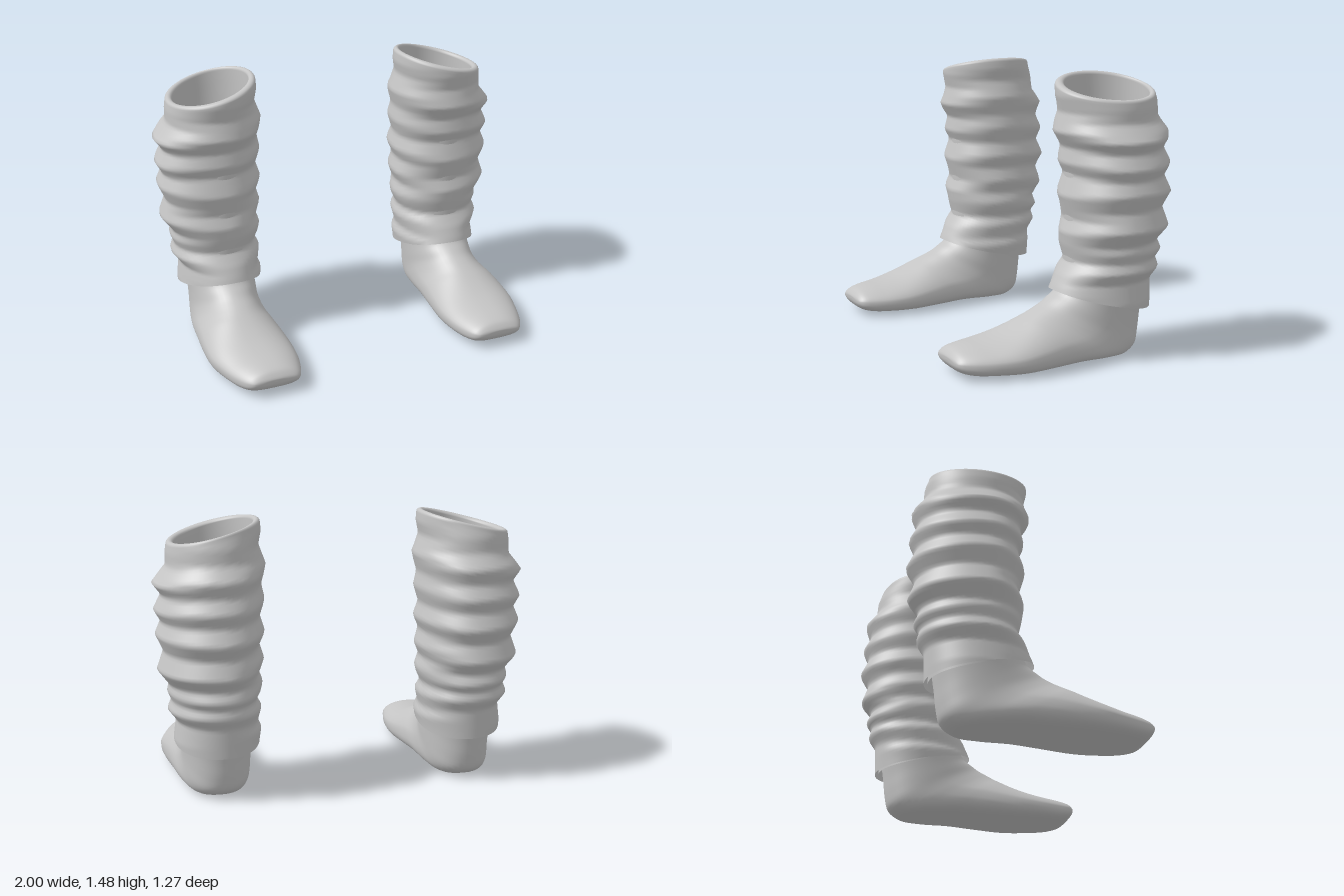
import * as THREE from 'three';

const knit = new THREE.MeshStandardMaterial({ color: 0xc4c4c4, side: THREE.DoubleSide });
knit.name = 'plain grey';

// Warmer outlines, as [height, position] pairs; folds differ on each side
const INNER = [[0.25, 0.455], [0.3, 0.45], [0.36, 0.44], [0.4, 0.46], [0.48, 0.44], [0.53, 0.465], [0.585, 0.44],
  [0.62, 0.432], [0.68, 0.455], [0.75, 0.425], [0.83, 0.45], [0.9, 0.42], [0.98, 0.445], [1.07, 0.418],
  [1.15, 0.435], [1.25, 0.408], [1.35, 0.445], [1.42, 0.43], [1.48, 0.435]];
const OUTER = [[0.25, 0.9], [0.31, 0.905], [0.42, 0.89], [0.48, 0.935], [0.53, 0.915], [0.58, 0.935], [0.62, 0.925],
  [0.7, 0.985], [0.8, 0.95], [0.89, 0.99], [0.96, 0.96], [1.02, 0.995], [1.1, 0.955], [1.16, 1.0],
  [1.25, 0.925], [1.32, 0.925], [1.38, 0.915]];
const FRONT = [[0.36, 0.035], [0.4, 0.02], [0.46, -0.01], [0.53, -0.06], [0.61, -0.04], [0.68, -0.03], [0.75, -0.06],
  [0.87, -0.025], [0.98, -0.06], [1.04, -0.03], [1.12, -0.045], [1.2, 0.005], [1.3, -0.025], [1.38, -0.005],
  [1.44, -0.005]];
const BACK = [[0.26, -0.525], [0.42, -0.53], [0.48, -0.57], [0.53, -0.555], [0.57, -0.588], [0.63, -0.56], [0.7, -0.622],
  [0.8, -0.585], [0.88, -0.633], [0.97, -0.59], [1.04, -0.622], [1.12, -0.58], [1.2, -0.613], [1.28, -0.55],
  [1.36, -0.545], [1.43, -0.52]];

// Straight-line lookup in an outline
function at(outline, y) {
  if (y <= outline[0][0]) return outline[0][1];
  for (let i = 1; i < outline.length; i++) {
    const [y0, v0] = outline[i - 1], [y1, v1] = outline[i];
    if (y <= y1) return THREE.MathUtils.lerp(v0, v1, (y - y0) / (y1 - y0));
  }
  return outline[outline.length - 1][1];
}

// Surface through closed rings; mirror = -1 makes the opposite leg
function loft(rows, cols, mirror, point) {
  const pos = [], index = [];
  for (let i = 0; i <= rows; i++) {
    for (let j = 0; j < cols; j++) {
      const [x, y, z] = point(i, (j / cols) * Math.PI * 2);
      pos.push(x * mirror, y, z);
    }
  }
  for (let i = 0; i < rows; i++) {
    for (let j = 0; j < cols; j++) {
      const a = i * cols + j, b = i * cols + (j + 1) % cols, c = a + cols, d = b + cols;
      if (mirror > 0) index.push(a, c, b, b, c, d);
      else index.push(a, b, c, b, d, c);
    }
  }
  const g = new THREE.BufferGeometry();
  g.setAttribute('position', new THREE.Float32BufferAttribute(pos, 3));
  g.setIndex(index);
  g.computeVertexNormals();
  return g;
}

// Folded tube: up the outside, over a rounded rim, down a smooth lining
function warmerGeometry(mirror) {
  const OUT = 76, RIM = 8, LINING = 16;
  return loft(OUT + RIM + LINING, 64, mirror, (i, a) => {
    const c = Math.cos(a), s = Math.sin(a);
    const t = i <= OUT ? i / OUT : i <= OUT + RIM ? 1 : 1 - (i - OUT - RIM) / LINING;
    const k = THREE.MathUtils.clamp((i - OUT) / RIM, 0, 1);
    const inward = (1 - Math.cos(Math.PI * k)) / 2;
    const hem = 0.3 + 0.06 * s + 0.02 * s * s;
    const rim = 1.41 - 0.055 * c;
    const y = THREE.MathUtils.lerp(hem, rim, t);
    const cx = 0.675, cz = -0.28;
    const rx = Math.abs(at(c > 0 ? OUTER : INNER, y) - cx);
    const rz = Math.abs(at(s > 0 ? FRONT : BACK, y) - cz);
    return [
      cx + c * THREE.MathUtils.lerp(rx, 0.205, inward),
      y + 0.018 * Math.sin(Math.PI * k),
      cz + s * THREE.MathUtils.lerp(rz, 0.225, inward),
    ];
  });
}

// Foot sections swinging from shin to toe:
// [instep z, instep y, sole z, sole y, half width, centre x]
const SECTIONS = [
  [-0.07, 0.55, -0.49, 0.55, 0.19, 0.675],
  [-0.03, 0.42, -0.49, 0.34, 0.19, 0.675],
  [0.0, 0.37, -0.475, 0.22, 0.185, 0.675],
  [0.045, 0.34, -0.462, 0.12, 0.183, 0.675],
  [0.085, 0.315, -0.44, 0.05, 0.183, 0.677],
  [0.13, 0.293, -0.37, 0.01, 0.19, 0.68],
  [0.17, 0.273, -0.25, 0.006, 0.2, 0.685],
  [0.21, 0.253, -0.08, 0.014, 0.212, 0.688],
  [0.28, 0.22, 0.1, 0.01, 0.225, 0.687],
  [0.36, 0.19, 0.27, 0.005, 0.228, 0.682],
  [0.45, 0.17, 0.42, 0.01, 0.208, 0.672],
  [0.54, 0.158, 0.54, 0.02, 0.176, 0.665],
  [0.6, 0.142, 0.605, 0.042, 0.145, 0.66],
  [0.628, 0.115, 0.628, 0.07, 0.11, 0.66],
  [0.633, 0.093, 0.633, 0.09, 0.0, 0.66],
];

function footGeometry(mirror) {
  const instep = new THREE.CatmullRomCurve3(SECTIONS.map(r => new THREE.Vector3(r[4], r[1], r[0])));
  const sole = new THREE.CatmullRomCurve3(SECTIONS.map(r => new THREE.Vector3(r[5], r[3], r[2])));
  const rows = (SECTIONS.length - 1) * 4;
  const bend = (v, p) => Math.sign(v) * Math.pow(Math.abs(v), p);
  return loft(rows, 48, mirror, (i, a) => {
    const top = instep.getPoint(i / rows), low = sole.getPoint(i / rows);
    const footness = THREE.MathUtils.smoothstep(i / rows, 0.1, 0.5);
    const c = Math.cos(a), s = Math.sin(a);
    // Rounded instep, flatter sole, widest low down
    const p = THREE.MathUtils.lerp(1, c > 0 ? 0.85 : 0.62, footness);
    const h = bend(c, p);
    const w = Math.max(top.x, 0) * bend(s, p) * (1 - 0.18 * footness * Math.max(h, 0));
    return [
      low.x + w,
      THREE.MathUtils.lerp(low.y, top.y, (h + 1) / 2),
      THREE.MathUtils.lerp(low.z, top.z, (h + 1) / 2),
    ];
  });
}

export function createModel() {
  const model = new THREE.Group();
  model.name = 'legWarmers';
  for (const [side, mirror] of [['left', 1], ['right', -1]]) {
    const leg = new THREE.Group();
    leg.name = side + 'Leg';
    const warmer = new THREE.Mesh(warmerGeometry(mirror), knit);
    warmer.name = side + 'Warmer';
    const foot = new THREE.Mesh(footGeometry(mirror), knit);
    foot.name = side + 'Foot';
    leg.add(warmer, foot);
    model.add(leg);
  }
  return model;
}
